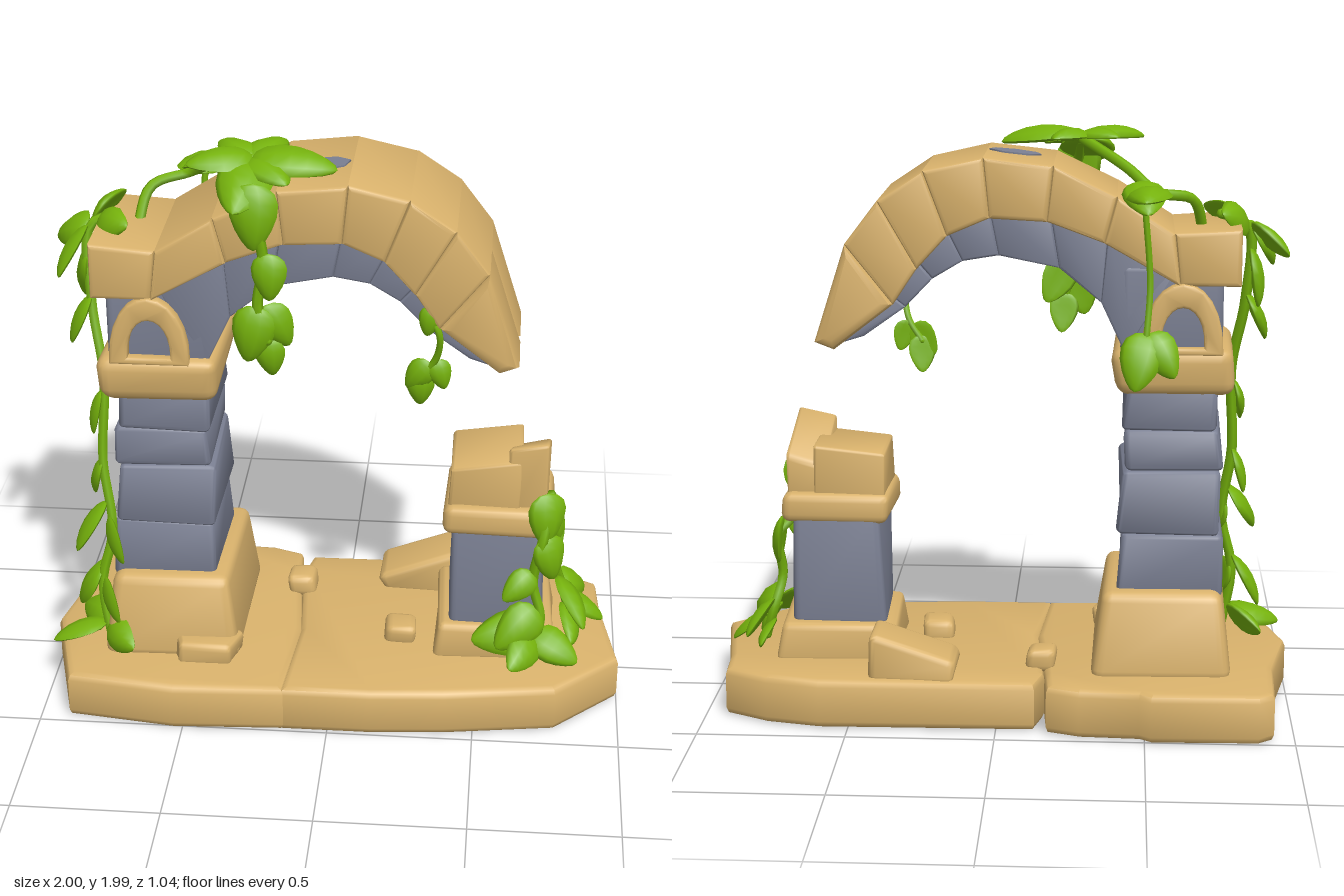
import * as THREE from 'three';
import { toCreasedNormals } from 'three/addons/utils/BufferGeometryUtils.js';
import { RoundedBoxGeometry } from 'three/addons/geometries/RoundedBoxGeometry.js';

const material = (name, color) => Object.assign(new THREE.MeshStandardMaterial({ color }), { name });
const V = (a) => new THREE.Vector3(...a);

export function createModel() {
  const model = new THREE.Group();
  model.name = 'ruinedArch';
  const sand = material('sandstone', 0xd9b26c);
  const slate = material('blueGreyStone', 0x7b8093);
  const green = material('vineGreen', 0x76b30c);

  function add(name, geometry, mat, parent = model) {
    const mesh = new THREE.Mesh(geometry, mat);
    mesh.name = name;
    parent.add(mesh);
    return mesh;
  }
  function group(name) {
    const g = new THREE.Group();
    g.name = name;
    model.add(g);
    return g;
  }

  // Worn stone block between bounds; "flare" widens the foot, "rule" reshapes vertices
  function stone(name, [x0, x1], [y0, y1], [z0, z1], mat, { flare = 0, r = 0.025, rule, parent } = {}) {
    const geo = new RoundedBoxGeometry(x1 - x0, y1 - y0, z1 - z0, 2, r);
    geo.translate((x0 + x1) / 2, (y0 + y1) / 2, (z0 + z1) / 2);
    const p = geo.attributes.position, v = new THREE.Vector3();
    const cx = (x0 + x1) / 2, cz = (z0 + z1) / 2;
    for (let i = 0; i < p.count; i++) {
      v.fromBufferAttribute(p, i);
      const k = 1 + flare * (y1 - v.y) / (y1 - y0);
      const wear = 0.007;
      v.x = cx + (v.x - cx) * k + wear * Math.sin(23 * v.y + 9 * v.z);
      v.z = cz + (v.z - cz) * k + wear * Math.sin(19 * v.y + 11 * v.x);
      if (rule) rule(v);
      p.setXYZ(i, v.x, v.y, v.z);
    }
    return add(name, toCreasedNormals(geo, 0.9), mat, parent);
  }

  // Bevelled prism: outline in x and y, running from z0 to z1
  function prism(points, z0, z1, bevel = 0.02) {
    const shape = new THREE.Shape(points.map((p) => new THREE.Vector2(...p)));
    const geo = new THREE.ExtrudeGeometry(shape, {
      depth: z1 - z0 - 2 * bevel, bevelThickness: bevel, bevelSize: bevel, bevelOffset: -bevel, bevelSegments: 2,
    });
    geo.translate(0, 0, z0 + bevel);
    return toCreasedNormals(geo, 0.8);
  }

  // Two base slabs, outlined in x and z
  const slabs = {
    baseLeft: [[-0.93, -0.47], [-0.88, -0.51], [-0.52, -0.52], [-0.48, -0.49], [-0.28, -0.48], [-0.17, -0.44],
      [-0.16, -0.3], [-0.12, 0.1], [-0.15, 0.5], [-0.53, 0.52], [-0.9, 0.47], [-1, 0.1], [-0.94, -0.2]],
    baseRight: [[-0.13, -0.42], [0.6, -0.43], [0.78, -0.39], [0.93, -0.31], [0.94, -0.16], [1, 0.2],
      [0.78, 0.42], [0.4, 0.48], [0.15, 0.5], [-0.16, 0.5], [-0.13, 0.1], [-0.16, -0.3]],
  };
  for (const [name, outline] of Object.entries(slabs)) {
    const geo = prism(outline.map(([x, z]) => [x, -z]), 0, 0.17, 0.025);
    geo.rotateX(-Math.PI / 2);
    add(name, geo, sand);
  }

  // Tall column: plinth, courses, capital and springer
  stone('tallPlinth', [-0.76, -0.36], [0.15, 0.45], [-0.28, 0.26], sand, { flare: 0.2, r: 0.035 });
  const courses = [0.42, 0.64, 0.86, 1.0, 1.16];
  for (let i = 0; i < 4; i++) {
    const w = 0.172 - 0.007 * i, s = 0.006 * (i % 2 ? 1 : -1);
    stone('columnCourse', [-0.58 - w + s, -0.58 + w + s], [courses[i], courses[i + 1]], [-0.225 - s, 0.205 + s], slate,
      { flare: 0.05, r: 0.02 });
  }
  stone('capital', [-0.79, -0.38], [1.12, 1.28], [-0.26, 0.26], sand, { r: 0.045, flare: -0.04 });
  stone('springer', [-0.75, -0.41], [1.24, 1.56], [-0.22, 0.22], slate);

  // Small niche frames on the front and back of the springer
  const arc = (w, top, y0, clockwise) => Array.from({ length: 13 }, (_, i) => {
    const a = Math.PI * i / 12 * (clockwise ? -1 : 1) + (clockwise ? Math.PI : 0);
    return new THREE.Vector2(-0.61 + w * Math.cos(a), y0 + (top - y0) * Math.sin(a) ** 0.85);
  });
  const frame = new THREE.Shape(arc(0.135, 1.5, 1.26, false));
  frame.holes.push(new THREE.Path(arc(0.072, 1.42, 1.285, true)));
  for (const z of [-0.255, 0.205]) {
    const geo = new THREE.ExtrudeGeometry(frame, { depth: 0.03, bevelThickness: 0.01, bevelSize: 0.01, bevelOffset: -0.01, bevelSegments: 2 });
    geo.translate(0, 0, z + 0.01);
    add('nicheFrame', toCreasedNormals(geo, 0.8), sand);
  }

  // Arch: sandstone crown over a blue-grey inner ring
  const crownTop = [[-0.8, 1.68], [-0.58, 1.665], [-0.39, 1.785], [-0.18, 1.885], [0.05, 1.91], [0.25, 1.865],
    [0.4, 1.765], [0.51, 1.62], [0.615, 1.29]];
  const crownLow = [[-0.8, 1.49], [-0.6, 1.49], [-0.35, 1.63], [-0.16, 1.7], [0.03, 1.71], [0.17, 1.65],
    [0.27, 1.54], [0.35, 1.42], [0.55, 1.265]];
  const soffit = [null, [-0.42, 1.26], [-0.34, 1.43], [-0.2, 1.545], [0, 1.585], [0.12, 1.565], [0.22, 1.505],
    [0.31, 1.41], [0.45, 1.31]];
  const mid = (i) => crownLow[i].map((c, k) => c + 0.3 * (crownTop[i][k] - c));
  const arch = group('arch');
  for (let i = 0; i < 8; i++) {
    const quad = [crownLow[i], crownLow[i + 1], crownTop[i + 1], crownTop[i]];
    const d = 0.248 + 0.005 * (i % 2);
    // The broken end stone is split in two
    const spans = i === 7 ? [[-d, 0.005], [-0.005, d]] : [[-d, d]];
    for (const [z0, z1] of spans) add('crownStone', prism(quad, z0, z1, i === 7 ? 0.03 : 0.016), sand, arch);
    if (i > 0) add('innerRingStone', prism([soffit[i], soffit[i + 1], mid(i + 1), mid(i)], -0.22, 0.22, 0.008), slate, arch);
  }
  // Worn patch on the crown
  const patch = new THREE.CylinderGeometry(0.09, 0.09, 0.008, 7);
  patch.scale(1, 1, 0.65).rotateZ(0.108).translate(-0.045, 1.901, 0.02);
  add('wornPatch', patch, slate);

  // Broken short column
  stone('shortPlinth', [0.36, 0.76], [0.15, 0.29], [-0.19, 0.23], sand, { flare: 0.04 });
  stone('shortColumn', [0.41, 0.71], [0.27, 0.67], [-0.13, 0.19], slate, { flare: 0.1 });
  stone('shortCapital', [0.38, 0.75], [0.635, 0.74], [-0.14, 0.215], sand, { r: 0.03 });
  stone('brokenTopLow', [0.395, 0.64], [0.7, 0.88], [-0.12, 0.18], sand,
    { r: 0.012, rule: (v) => { if (v.y > 0.8) v.y += 0.12 * (v.x - 0.395); } });
  stone('brokenTopHigh', [0.6, 0.735], [0.7, 0.97], [-0.1, 0.17], sand,
    { r: 0.012, rule: (v) => { if (v.y > 0.85) { v.y += 0.2 * (v.x - 0.68) - Math.max(0, -v.z) * 1.3; } } });

  // Rubble on the base
  const rubble = group('rubble');
  const sloped = (v) => { if (v.y > 0.24) v.y += 0.35 * (v.x - 0.4); };
  stone('fallenWedge', [0.14, 0.43], [0.15, 0.32], [-0.4, -0.2], sand, { parent: rubble, rule: sloped });
  stone('rubbleStone', [0.18, 0.29], [0.15, 0.23], [0.05, 0.17], sand, { parent: rubble });
  stone('rubbleStone', [-0.2, -0.1], [0.15, 0.23], [-0.26, -0.15], sand, { parent: rubble });
  stone('rubbleSlab', [-0.57, -0.32], [0.15, 0.24], [0.22, 0.36], sand,
    { parent: rubble, rule: (v) => { if (v.z > 0.3) v.x = -0.44 + (v.x + 0.44) * 0.75; } });

  // Leaf: pointed lens growing along +y, facing +z, with a drooping tip
  const leafGeo = new THREE.SphereGeometry(1, 10, 8);
  const lp = leafGeo.attributes.position;
  for (let i = 0; i < lp.count; i++) {
    const t = (lp.getY(i) + 1) / 2, x = lp.getX(i);
    lp.setXYZ(i, x * 0.42 * (1.15 - 0.65 * t), t, lp.getZ(i) * 0.1 + 0.18 * t * (1 - 1.8 * t) - 0.1 * x * x);
  }
  leafGeo.computeVertexNormals();

  // Vine: tube stem plus leaves given as [base, direction, size]
  function vine(name, out, path, leaves, radius = 0.018) {
    const g = group(name);
    if (path.length) {
      const curve = new THREE.CatmullRomCurve3(path.map(V));
      add('stem', new THREE.TubeGeometry(curve, path.length * 5, radius, 6), green, g);
      for (const end of [path[0], path[path.length - 1]]) {
        add('stemEnd', new THREE.SphereGeometry(radius, 6, 4), green, g).position.set(...end);
      }
    }
    for (const [base, dir, size] of leaves) {
      const y = V(dir).normalize();
      const x = new THREE.Vector3().crossVectors(y, V(out)).normalize();
      const z = new THREE.Vector3().crossVectors(x, y);
      const leaf = add('leaf', leafGeo, green, g);
      leaf.quaternion.setFromRotationMatrix(new THREE.Matrix4().makeBasis(x, y, z));
      leaf.position.set(...base);
      leaf.scale.setScalar(size);
    }
  }

  vine('crownVine', [0.05, 1, 0.1],
    [[-0.68, 1.63, -0.02], [-0.64, 1.76, -0.1], [-0.52, 1.79, -0.16], [-0.42, 1.86, -0.06], [-0.27, 1.94, 0.1]], [
      [[-0.27, 1.95, 0.1], [1, 0.05, 0.15], 0.28], [[-0.27, 1.95, 0.1], [0.5, 0.15, -0.8], 0.18],
      [[-0.27, 1.95, 0.1], [-0.9, 0.1, 0.35], 0.22], [[-0.27, 1.95, 0.1], [-0.6, 0.15, -0.6], 0.17],
      [[-0.27, 1.94, 0.1], [0.6, 0, 0.75], 0.2], [[-0.27, 1.94, 0.1], [-0.15, -0.25, 1], 0.26],
      [[-0.5, 1.79, -0.16], [0.1, 0.1, -1], 0.21], [[-0.47, 1.82, -0.14], [-0.1, -0.3, -1], 0.2]]);
  vine('frontVine', [0, 0.4, 1],
    [[-0.26, 1.93, 0.14], [-0.25, 1.84, 0.28], [-0.22, 1.66, 0.28], [-0.24, 1.5, 0.28], [-0.21, 1.38, 0.28]], [
      [[-0.25, 1.92, 0.27], [0, -1, 0.25], 0.22], [[-0.2, 1.69, 0.29], [0, -1, 0.2], 0.16],
      [[-0.24, 1.5, 0.28], [-0.2, -1, 0.15], 0.2], [[-0.22, 1.5, 0.27], [0.5, -0.9, 0], 0.17],
      [[-0.21, 1.38, 0.27], [0.1, -1, 0], 0.14]]);
  vine('leftVine', [-1, 0.4, 0.1],
    [[-0.74, 1.7, 0], [-0.83, 1.66, 0.02], [-0.83, 1.4, 0.06], [-0.79, 1.15, 0.12], [-0.8, 0.85, 0.16], [-0.77, 0.6, 0.2], [-0.81, 0.4, 0.22], [-0.78, 0.18, 0.25]], [
      [[-0.84, 1.66, 0], [-0.8, -0.4, -0.5], 0.18], [[-0.84, 1.66, 0.02], [-0.5, -0.6, 0.5], 0.2],
      [[-0.82, 1.68, 0], [0.3, 0.25, -0.8], 0.18], [[-0.8, 1.68, 0.03], [0.5, 0.2, 0.6], 0.16],
      [[-0.84, 1.58, 0.02], [-0.3, -1, -0.3], 0.2], [[-0.83, 1.42, 0.05], [-0.5, -0.8, 0.2], 0.18],
      [[-0.8, 1.1, 0.13], [-0.3, -0.9, 0.3], 0.15], [[-0.8, 0.85, 0.16], [-0.4, -0.9, -0.3], 0.16],
      [[-0.79, 0.7, 0.18], [-0.6, -0.7, 0.4], 0.2], [[-0.78, 0.65, 0.2], [0.2, -0.9, 0.5], 0.17],
      [[-0.81, 0.45, 0.2], [-0.6, -0.8, -0.2], 0.2], [[-0.8, 0.42, 0.22], [0.2, -0.9, 0.5], 0.17],
      [[-0.8, 0.24, 0.22], [-1, -0.15, 0.25], 0.2], [[-0.79, 0.24, 0.25], [0.5, 0, 0.8], 0.17],
      [[-0.8, 0.24, 0.2], [-0.7, -0.1, -0.7], 0.18]]);
  vine('backLeaves', [0, 0.4, -1],
    [[-0.48, 1.76, -0.27], [-0.5, 1.5, -0.26], [-0.49, 1.32, -0.28]], [
      [[-0.49, 1.34, -0.27], [0.2, -0.9, -0.55], 0.2], [[-0.5, 1.34, -0.27], [-0.5, -0.8, -0.4], 0.17]], 0.012);
  vine('hangingVine', [0.1, 0.4, 1],
    [[0.31, 1.47, 0.22], [0.35, 1.4, 0.23], [0.34, 1.3, 0.2], [0.29, 1.22, 0.18]], [
      [[0.33, 1.5, 0.23], [-0.2, -1, 0.1], 0.11], [[0.34, 1.29, 0.19], [0.25, -0.8, 0.1], 0.11],
      [[0.32, 1.28, 0.19], [-0.7, -0.9, 0], 0.13], [[0.29, 1.24, 0.18], [0, -1, 0], 0.13]], 0.012);
  vine('shortColumnFrontVine', [0.4, 0.6, 0.8],
    [[0.74, 0.7, 0.1], [0.74, 0.79, 0.17], [0.72, 0.66, 0.24], [0.69, 0.48, 0.23], [0.72, 0.34, 0.24], [0.68, 0.2, 0.26]], [
      [[0.73, 0.81, 0.2], [0.05, -1, 0.25], 0.19], [[0.73, 0.66, 0.23], [0.25, -1, 0.1], 0.17],
      [[0.69, 0.52, 0.24], [-0.6, -0.5, 0.4], 0.14], [[0.71, 0.38, 0.24], [-0.7, -0.6, 0.5], 0.2],
      [[0.7, 0.3, 0.24], [-1, -0.1, 0.3], 0.22], [[0.7, 0.27, 0.25], [-0.4, -0.2, 0.9], 0.17],
      [[0.7, 0.28, 0.24], [0.7, -0.3, 0.3], 0.18]]);
  vine('shortColumnSideVine', [1, 0.6, 0.1],
    [[0.74, 0.62, -0.03], [0.78, 0.57, -0.05], [0.77, 0.42, -0.02], [0.8, 0.3, -0.05], [0.83, 0.2, -0.03]], [
      [[0.76, 0.64, -0.05], [0.25, -1, 0], 0.17], [[0.79, 0.35, -0.03], [0.5, -0.4, 0.8], 0.22],
      [[0.8, 0.33, -0.05], [0.6, -0.5, -0.7], 0.17], [[0.82, 0.28, -0.03], [1, -0.55, 0], 0.16],
      [[0.82, 0.25, 0], [0.2, -0.2, 1], 0.18], [[0.8, 0.25, -0.06], [0.3, -0.2, -0.9], 0.14]]);

  return model;
}
